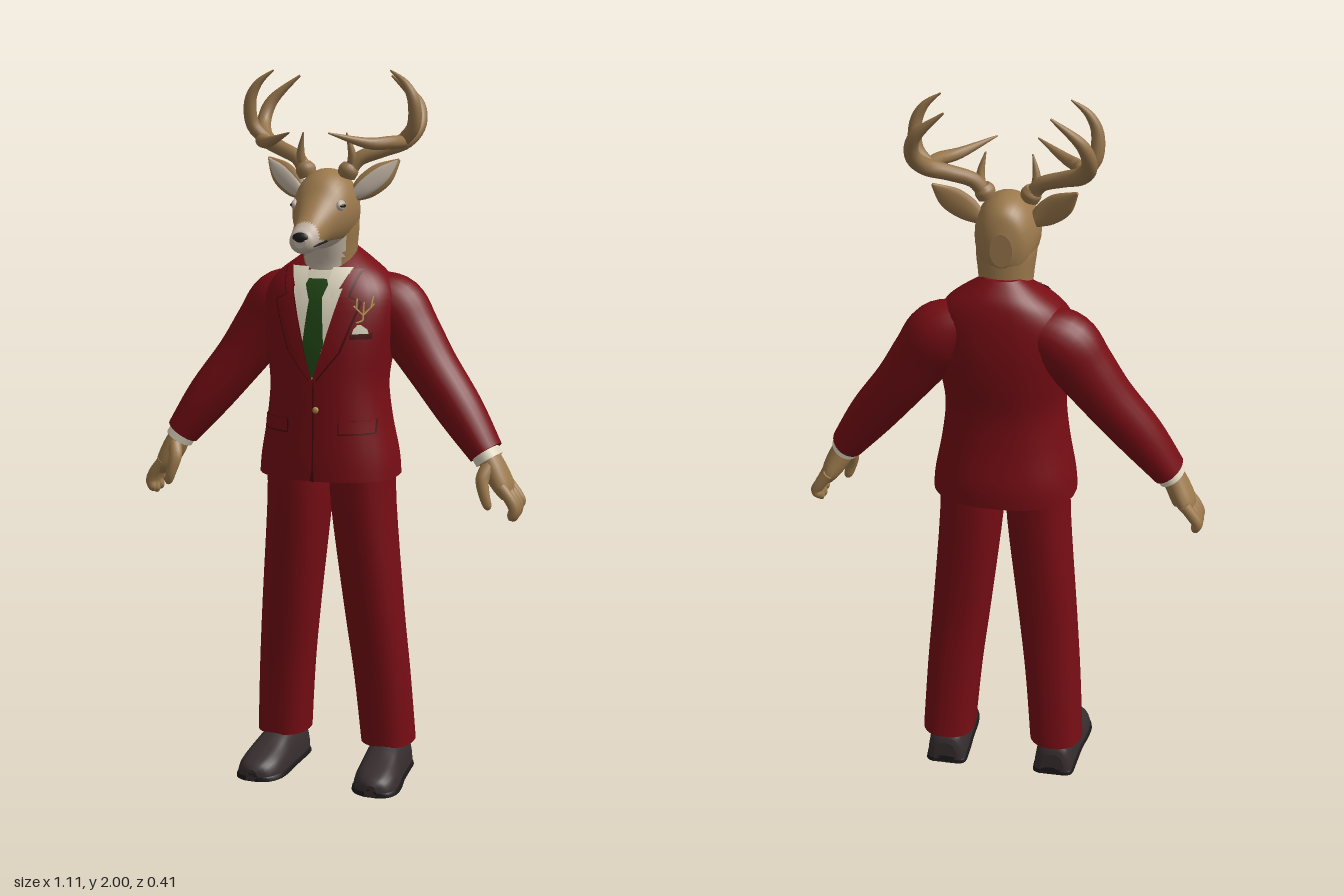
import * as THREE from 'three';

const mat = (name, color) => {
  const m = new THREE.MeshStandardMaterial({ color, side: THREE.DoubleSide });
  m.name = name;
  return m;
};
const RED = mat('suit red', 0x760d14), DARK = mat('seam dark red', 0x45070b), FUR = mat('tan fur', 0x9c794c),
  PALE = mat('pale fur', 0xc0b2a2), ANTLER = mat('antler brown', 0x94734a), CREAM = mat('shirt cream', 0xded6c0),
  GREEN = mat('tie green', 0x1f4515), SHOE = mat('shoe leather', 0x372d2f), BLACK = mat('near black', 0x1b1818),
  GOLD = mat('pin gold', 0xb48f4c);

// Catmull-Rom through rows of numbers
function spline(rows, sub) {
  const out = [], at = i => rows[Math.min(rows.length - 1, Math.max(0, i))];
  for (let i = 0; i < rows.length - 1; i++)
    for (let k = 0; k < sub; k++) {
      const t = k / sub, [a, b, c, d] = [at(i - 1), at(i), at(i + 1), at(i + 2)];
      out.push(b.map((_, j) => 0.5 * (2 * b[j] + (c[j] - a[j]) * t + (2 * a[j] - 5 * b[j] + 4 * c[j] - d[j]) * t * t
        + (3 * b[j] - a[j] - 3 * c[j] + d[j]) * t * t * t)));
    }
  out.push(rows[rows.length - 1]);
  return out;
}

// Closed skin over rings of points; rule picks a material for each face
function skin(name, rings, mats, rule = () => 0) {
  mats = [].concat(mats);
  const n = rings[0].length, pos = [], tris = [];
  const push = p => pos.push(p.x, p.y, p.z) / 3 - 1;
  rings.forEach(r => r.forEach(push));
  for (let i = 0; i < rings.length - 1; i++)
    for (let j = 0; j < n; j++) {
      const a = i * n + j, b = i * n + (j + 1) % n;
      tris.push([a, b, b + n], [a, b + n, a + n]);
    }
  [rings[0], rings[rings.length - 1]].forEach((r, e) => {
    const mid = push(r.reduce((s, p) => s.add(p), new THREE.Vector3()).divideScalar(n));
    const ids = r.map(push);
    for (let j = 0; j < n; j++) {
      const k = (j + 1) % n;
      tris.push(e ? [ids[j], ids[k], mid] : [ids[k], ids[j], mid]);
    }
  });
  const P = i => new THREE.Vector3().fromArray(pos, i * 3);
  const volume = tris.reduce((s, t) => s + P(t[0]).dot(P(t[1]).cross(P(t[2]))), 0);
  const lists = mats.map(() => []);
  for (const t of tris) {
    const c = P(t[0]).add(P(t[1])).add(P(t[2])).divideScalar(3);
    lists[rule(c)].push(...(volume < 0 ? [t[0], t[2], t[1]] : t));
  }
  const g = new THREE.BufferGeometry();
  g.setAttribute('position', new THREE.Float32BufferAttribute(pos, 3));
  g.setIndex(lists.flat());
  let start = 0;
  lists.forEach((l, i) => { g.addGroup(start, l.length, i); start += l.length; });
  g.computeVertexNormals();
  const mesh = new THREE.Mesh(g, mats.length > 1 ? mats : mats[0]);
  mesh.name = name;
  return mesh;
}

const sp = (v, e) => Math.sign(v) * Math.abs(v) ** e;
const around = (n, f) => Array.from({ length: n }, (_, i) => f(Math.cos(i / n * 2 * Math.PI), Math.sin(i / n * 2 * Math.PI)));

// Upright form, rows of [y, centre x, half width, front z, back z]
const E = 0.85;
const upright = (name, rows, mats, s = 1, rule) => skin(name, spline(rows, 4).map(([y, cx, rx, f, b]) =>
  around(32, (c, d) => new THREE.Vector3(s * (cx + rx * sp(c, E)), y, (f + b) / 2 + (f - b) / 2 * sp(d, E)))), mats, rule);

// Limb along a path, rows of [x, y, z, radius, radius towards z]
function limb(name, rows, m, s = 1, sides = 14, sub = 5) {
  const pts = spline(rows.map(([x, y, z, r, q = r]) => [x * s, y, z, r, q]), sub);
  const v = pts.map(p => new THREE.Vector3(p[0], p[1], p[2]));
  const ref = new THREE.Vector3(0, 0, 1), side = new THREE.Vector3(1, 0, 0);
  return skin(name, v.map((p, i) => {
    const t = v[Math.min(i + 1, v.length - 1)].clone().sub(v[Math.max(i - 1, 0)]).normalize();
    const n = t.clone().cross(Math.abs(t.z) > 0.9 ? side : ref).normalize(), b = n.clone().cross(t);
    return around(sides, (c, d) => p.clone().addScaledVector(n, c * pts[i][3]).addScaledVector(b, d * pts[i][4]));
  }), m);
}

const TORSO = [[0.89, 0, 0.2, 0.11, -0.2], [0.95, 0, 0.194, 0.11, -0.2], [1.05, 0, 0.175, 0.107, -0.186],
  [1.15, 0, 0.165, 0.105, -0.18], [1.25, 0, 0.178, 0.1, -0.19], [1.33, 0, 0.188, 0.088, -0.193],
  [1.4, 0, 0.185, 0.07, -0.188], [1.45, 0, 0.155, 0.045, -0.18], [1.49, 0, 0.105, 0.01, -0.165], [1.53, 0, 0.05, -0.05, -0.13]];
const FINE = spline(TORSO, 4);

// Depth of the jacket front at (x, y)
function frontZ(x, y) {
  let i = FINE.findIndex(r => r[0] >= y);
  i = Math.max(1, i);
  const a = FINE[i - 1], b = FINE[i], t = (y - a[0]) / (b[0] - a[0]);
  const [rx, f, k] = [2, 3, 4].map(j => a[j] + (b[j] - a[j]) * t);
  const u = Math.min(1, Math.abs(x / rx));
  return (f + k) / 2 + (f - k) / 2 * (1 - u ** (2 / E)) ** (E / 2);
}

// Thin panel lying on the jacket, rows of [y, inner x, outer x] going up
function panel(name, rows, lift, m, s = 1) {
  const pos = [], idx = [], C = 6, S = 5, lines = [];
  rows.forEach((r, i) => {
    if (i) for (let k = i > 1 ? 1 : 0; k <= S; k++) lines.push(r.map((v, j) => rows[i - 1][j] + (v - rows[i - 1][j]) * k / S));
  });
  lines.forEach(([y, a, b], i) => {
    for (let j = 0; j <= C; j++) {
      const x = s * (a + (b - a) * j / C), p = i * (C + 1) + j, q = p + C + 1;
      pos.push(x, y, frontZ(x, y) + lift);
      if (i < lines.length - 1 && j < C) idx.push(...(s > 0 ? [p, p + 1, q + 1, p, q + 1, q] : [p, q + 1, p + 1, p, q, q + 1]));
    }
  });
  const g = new THREE.BufferGeometry();
  g.setAttribute('position', new THREE.Float32BufferAttribute(pos, 3));
  g.setIndex(idx);
  g.computeVertexNormals();
  const mesh = new THREE.Mesh(g, m);
  mesh.name = name;
  return mesh;
}

function ball(name, m, p, r) {
  const mesh = new THREE.Mesh(new THREE.SphereGeometry(1, 18, 12), m);
  mesh.position.set(...p);
  mesh.scale.set(...r);
  mesh.name = name;
  return mesh;
}

export function createModel() {
  const root = new THREE.Group(), add = (...m) => root.add(...m);
  root.name = 'suitedDeer';

  // Jacket, shirt front and tie
  add(upright('jacket', TORSO, RED));
  add(panel('shirtFront', [[1.17, -0.002, 0.002], [1.465, -0.085, 0.085]], 0.003, CREAM));
  add(panel('tie', [[1.18, -0.004, 0.004], [1.27, -0.03, 0.03], [1.4, -0.018, 0.018]], 0.008, GREEN));
  add(panel('tieKnot', [[1.39, -0.018, 0.018], [1.43, -0.032, 0.032], [1.445, -0.026, 0.026]], 0.014, GREEN));
  add(panel('jacketOpening', [[0.89, -0.006, 0.006], [0.93, 0, 0.004], [1.17, 0, 0.004]], 0.003, DARK));
  add(ball('jacketButton', GOLD, [0.01, 1.09, frontZ(0, 1.09) + 0.004], [0.009, 0.009, 0.005]));
  const lapel = [[1.17, 0, 0.008], [1.25, 0.025, 0.072], [1.36, 0.055, 0.112], [1.385, 0.062, 0.12], [1.4, 0.066, 0.088], [1.47, 0.085, 0.108]];
  for (const s of [1, -1]) {
    add(panel('lapelEdge', lapel.map(([y, a, b]) => [y, a, b + 0.005]), 0.005, DARK, s));
    add(panel('lapel', lapel, 0.009, RED, s));
    add(panel('shirtCollar', [[1.395, 0.045, 0.05], [1.43, 0.03, 0.068], [1.475, 0.035, 0.088]], 0.011, CREAM, s));
    add(panel('pocketEdge', [[1.022, 0.072, 0.163], [1.062, 0.072, 0.163]], 0.004, DARK, s));
    add(panel('pocketFlap', [[1.027, 0.075, 0.16], [1.062, 0.075, 0.16]], 0.008, RED, s));
  }

  // Breast pocket, handkerchief and sprig pin
  add(panel('breastPocket', [[1.285, 0.098, 0.152], [1.302, 0.098, 0.152]], 0.005, DARK));
  add(panel('pocketSquare', [[1.3, 0.105, 0.145], [1.312, 0.108, 0.142], [1.325, 0.118, 0.126]], 0.008, CREAM));
  for (const [x0, y0, x1, y1] of [[0.13, 1.335, 0.13, 1.385], [0.13, 1.35, 0.105, 1.375], [0.13, 1.35, 0.155, 1.38],
    [0.113, 1.367, 0.112, 1.395], [0.147, 1.37, 0.15, 1.4], [0.13, 1.335, 0.115, 1.33]])
    add(limb('sprigPin', [[x0, y0, frontZ(x0, y0) + 0.008, 0.003], [x1, y1, frontZ(x1, y1) + 0.008, 0.0025]], GOLD, 1, 6, 2));

  // Neck and head
  add(upright('collarBand', [[1.41, 0, 0.086, 0.058, -0.125], [1.45, 0, 0.08, 0.045, -0.12], [1.475, 0, 0.075, 0.03, -0.115]], CREAM));
  add(upright('neck', [[1.4, 0, 0.075, 0.045, -0.118], [1.47, 0, 0.07, 0.036, -0.118], [1.53, 0, 0.074, 0.045, -0.117],
    [1.59, 0, 0.08, 0.05, -0.114], [1.65, 0, 0.07, 0.03, -0.1]], [FUR, PALE], 1, c => +(c.z > 0.015 && c.y < 1.56)));
  const skull = [[-0.117, 1.61, 0.03, 0.045], [-0.1, 1.615, 0.06, 0.09], [-0.06, 1.625, 0.08, 0.107], [0, 1.63, 0.087, 0.108],
    [0.05, 1.62, 0.078, 0.095], [0.09, 1.6, 0.059, 0.07], [0.13, 1.578, 0.045, 0.053], [0.17, 1.56, 0.038, 0.038],
    [0.193, 1.556, 0.032, 0.03], [0.203, 1.555, 0.016, 0.016]];
  add(skin('head', spline(skull, 5).map(([z, y, rx, ry]) => around(32, (c, d) => new THREE.Vector3(rx * c, y + ry * d, z))),
    [FUR, PALE], c => +(c.z > 0.16 || (c.z > 0.02 && c.y < 1.55 + 0.12 * Math.max(0, c.z - 0.09)))));
  add(ball('nose', BLACK, [0, 1.565, 0.19], [0.027, 0.018, 0.016]));

  for (const s of [1, -1]) {
    // Face details and ears
    add(ball('eyePatch', PALE, [s * 0.064, 1.643, 0.058], [0.012, 0.016, 0.022]));
    add(ball('eye', BLACK, [s * 0.068, 1.643, 0.062], [0.011, 0.006, 0.016]));
    add(limb('mouth', [[0.012, 1.54, 0.196, 0.003], [0.034, 1.545, 0.175, 0.003], [0.043, 1.552, 0.11, 0.003]], BLACK, s, 6));
    const ear = [[0.07, 1.665, -0.03, 0.018, 0.014], [0.105, 1.69, -0.035, 0.034, 0.014], [0.15, 1.725, -0.048, 0.033, 0.011],
      [0.19, 1.762, -0.064, 0.004, 0.004]];
    add(limb('ear', ear, FUR, s));
    add(limb('innerEar', ear.map(([x, y, z, r, q]) => [x * 0.97 + 0.003, y - 0.002, z + 0.009, r * 0.68, q * 0.6]), PALE, s));

    // Antler: beam, tines and burr
    const antler = new THREE.Group();
    antler.name = s > 0 ? 'leftAntler' : 'rightAntler';
    antler.add(
      limb('burr', [[0.055, 1.715, -0.012, 0.024], [0.062, 1.735, -0.012, 0.028], [0.068, 1.75, -0.014, 0.02]], ANTLER, s),
      limb('beam', [[0.06, 1.725, -0.012, 0.021], [0.09, 1.765, -0.022, 0.02], [0.15, 1.79, -0.045, 0.021], [0.205, 1.815, -0.08, 0.023],
        [0.228, 1.86, -0.125, 0.02], [0.21, 1.92, -0.152, 0.016], [0.135, 1.985, -0.165, 0.003]], ANTLER, s),
      limb('upperTine', [[0.19, 1.805, -0.06, 0.018], [0.232, 1.85, -0.052, 0.019], [0.236, 1.915, -0.042, 0.017],
        [0.212, 1.965, -0.042, 0.011], [0.168, 2.0, -0.045, 0.002]], ANTLER, s),
      limb('forwardTine', [[0.2, 1.81, -0.06, 0.018], [0.185, 1.81, 0, 0.018], [0.14, 1.81, 0.06, 0.015], [0.055, 1.838, 0.132, 0.002]], ANTLER, s),
      limb('browTine', [[0.07, 1.74, -0.012, 0.014], [0.074, 1.78, -0.004, 0.011], [0.062, 1.835, 0.006, 0.002]], ANTLER, s));
    add(antler);

    // Sleeve, cuff and hand
    add(limb('sleeve', [[0.1, 1.39, -0.095, 0.07, 0.075], [0.165, 1.355, -0.098, 0.093, 0.085], [0.22, 1.285, -0.092, 0.084, 0.078],
      [0.285, 1.195, -0.08, 0.073, 0.073], [0.375, 1.08, -0.057, 0.065, 0.068], [0.452, 0.975, -0.04, 0.048, 0.06]], RED, s, 24));
    add(limb('cuff', [[0.44, 0.99, -0.042, 0.04, 0.05], [0.463, 0.955, -0.038, 0.04, 0.05]], CREAM, s, 24));
    const hand = new THREE.Group();
    hand.name = s > 0 ? 'leftHand' : 'rightHand';
    hand.add(limb('palm', [[0.455, 0.975, -0.038, 0.03, 0.036], [0.478, 0.93, -0.038, 0.033, 0.046], [0.503, 0.885, -0.042, 0.028, 0.054],
      [0.515, 0.86, -0.045, 0.018, 0.046]], FUR, s));
    [-0.086, -0.058, -0.03, -0.003].forEach((z, i) => {
      const d = [0.022, 0.004, 0, 0.008][i];
      hand.add(limb('finger', [[0.503, 0.89, z, 0.016], [0.53, 0.855, z, 0.016], [0.541, 0.825 + d / 2, z, 0.0145],
        [0.535, 0.8 + d, z, 0.012], [0.531, 0.79 + d, z, 0.004]], FUR, s, 10));
    });
    hand.add(limb('thumb', [[0.468, 0.945, -0.015, 0.02], [0.456, 0.91, 0.01, 0.019], [0.464, 0.87, 0.02, 0.016],
      [0.474, 0.838, 0.02, 0.012], [0.477, 0.828, 0.02, 0.004]], FUR, s, 10));
    add(hand);

    // Trouser leg
    add(upright('trouserLeg', [[0.95, 0.092, 0.09, 0.06, -0.16], [0.8, 0.096, 0.088, 0.052, -0.157], [0.5, 0.125, 0.083, 0.022, -0.148],
      [0.3, 0.145, 0.079, 0.002, -0.16], [0.095, 0.16, 0.076, -0.012, -0.18]], RED, s));

    // Shoe and sole
    const shoe = [[-0.175, 0.16, 0.036, 0.07], [-0.16, 0.16, 0.054, 0.1], [-0.1, 0.162, 0.058, 0.115], [-0.03, 0.166, 0.06, 0.105],
      [0.03, 0.171, 0.065, 0.082], [0.08, 0.175, 0.063, 0.065], [0.115, 0.178, 0.046, 0.05], [0.13, 0.179, 0.018, 0.035]];
    const footRings = (grow, top) => spline(shoe, 4).map(([z, x, w, h]) => around(24, (c, d) =>
      new THREE.Vector3(s * (x + w * grow * sp(c, 0.7)), Math.max(0, d) ** 0.8 * (top || h), z)));
    add(skin('shoe', footRings(1, 0), SHOE), skin('sole', footRings(1.08, 0.024), BLACK));
  }
  return root;
}
